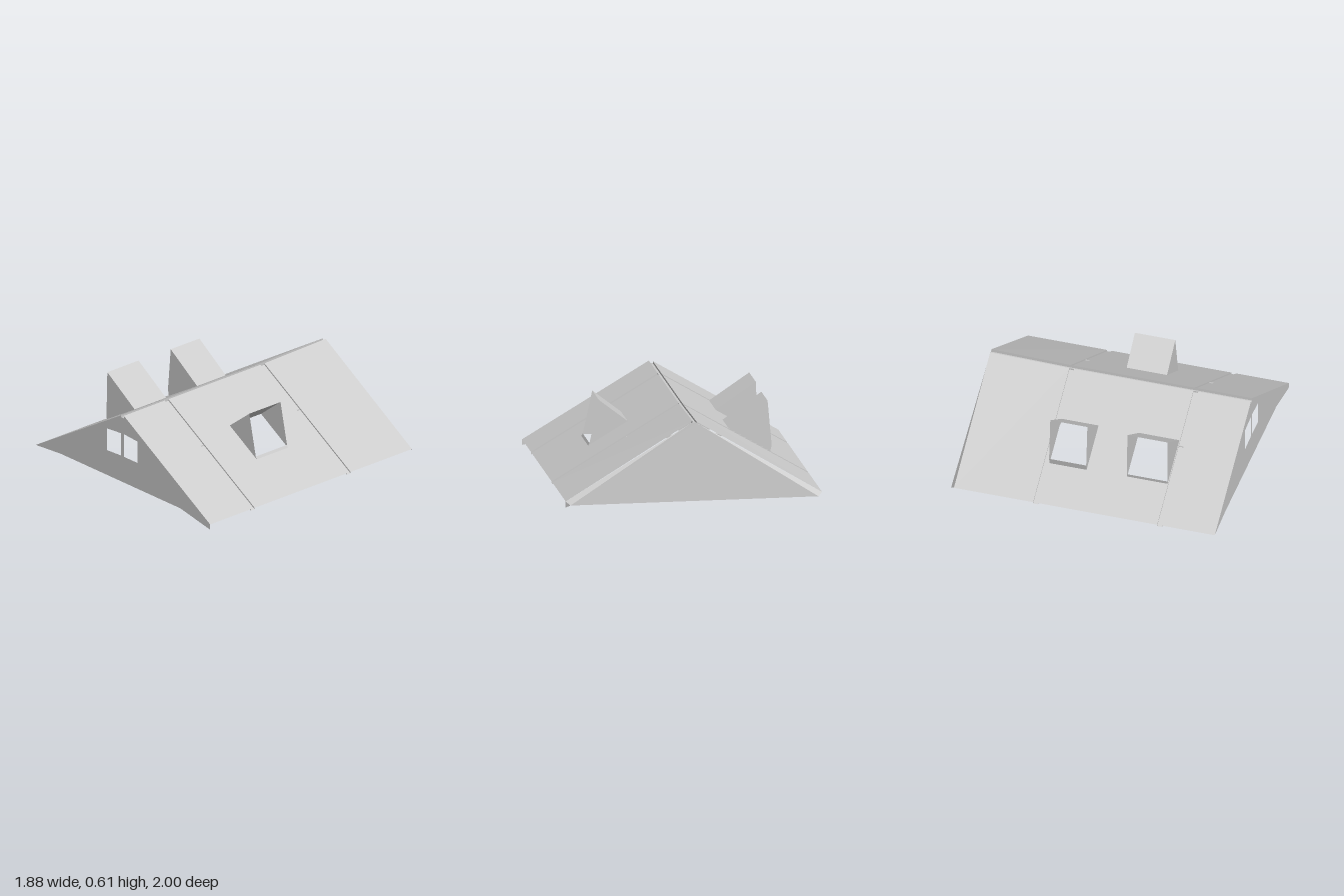
import * as THREE from 'three';

const W = 0.94, BACK = -0.97, RIDGE = [-0.02, 0.01];
const GROOVES = [[0.565, 0.602], [-0.372, -0.335]];
const DEPTH = 0.012;

const mat = new THREE.MeshStandardMaterial({ color: 0xcccccc, side: THREE.DoubleSide, flatShading: true });

// Height of the roof skin; the last bay rises slightly towards the back
function roofY(x, z) {
  const a = Math.abs(x);
  return 0.045 + (W - a) * 0.592 + 0.013 * (1 - a / W) * Math.max(0, (-0.372 - z) / 0.6);
}

function add(parent, name, geometry) {
  const mesh = new THREE.Mesh(geometry, mat);
  mesh.name = name;
  parent.add(mesh);
  return mesh;
}

// Flat polygons given as corner lists, each split as a fan
function sheets(polys) {
  const pos = [];
  for (const p of polys)
    for (let i = 1; i < p.length - 1; i++) pos.push(...p[0], ...p[i], ...p[i + 1]);
  const g = new THREE.BufferGeometry();
  g.setAttribute('position', new THREE.Float32BufferAttribute(pos, 3));
  g.computeVertexNormals();
  return g;
}

const toPoints = (list) => list.map(([x, y]) => new THREE.Vector2(x, y));

function shapeWithHoles(outline, holes) {
  const s = new THREE.Shape(toPoints(outline));
  for (const h of holes) s.holes.push(new THREE.Path(toPoints(h)));
  return new THREE.ShapeGeometry(s);
}

const rect = (x0, x1, y0, y1) => [[x0, y0], [x1, y0], [x1, y1], [x0, y1]];

// One roof bay: drawn in plan, then lifted onto the slope
function roofPanel(x0, x1, z0, z1, holes) {
  const g = shapeWithHoles(rect(x0, x1, z0, z1), holes);
  const p = g.attributes.position;
  for (let i = 0; i < p.count; i++) {
    const x = p.getX(i), z = p.getY(i);
    p.setXYZ(i, x, roofY(x, z), z);
  }
  g.computeVertexNormals();
  return g;
}

// Recessed channel running down one slope
function slopeGroove(xa, xb, z0, z1) {
  const pt = (x, z, d) => [x, roofY(x, z) - d, z];
  const strip = (za, da, zb, db) => [pt(xa, za, da), pt(xb, za, da), pt(xb, zb, db), pt(xa, zb, db)];
  return sheets([strip(z0, 0, z0, DEPTH), strip(z0, DEPTH, z1, DEPTH), strip(z1, DEPTH, z1, 0)]);
}

// Shed dormer with an open outer face
function dormer(parent, d) {
  const group = new THREE.Group();
  group.name = 'dormer';
  parent.add(group);
  const { z0, z1, inner, top, lip, foot } = d;
  const at = (p, z) => [p[0], p[1], z];
  add(group, 'dormerRoof', sheets([[at(inner, z0), at(top, z0), at(top, z1), at(inner, z1)]]));
  for (const z of [z0, z1])
    add(group, 'dormerCheek', sheets([[inner, top, lip, foot].map((p) => at(p, z))]));
  add(group, 'dormerSill', sheets([[at(foot, z0), at(lip, z0), at(lip, z1), at(foot, z1)]]));
}

export function createModel() {
  const model = new THREE.Group();
  model.name = 'atticRoof';

  const dormers = [
    { z0: -0.33, z1: -0.05, inner: [-0.36, 0.388], top: [-0.645, 0.585], lip: [-0.675, 0.255], foot: [-0.665, 0.208] },
    { z0: 0.255, z1: 0.56, inner: [-0.36, 0.388], top: [-0.655, 0.585], lip: [-0.664, 0.235], foot: [-0.66, 0.211] },
    { z0: -0.045, z1: 0.26, inner: [0.335, 0.403], top: [0.545, 0.567], lip: [0.615, 0.25], foot: [0.625, 0.231] },
  ];
  dormers.forEach((d) => dormer(model, d));

  // Roof bays and channels on both slopes
  const bays = [[BACK, GROOVES[1][0]], [GROOVES[1][1], GROOVES[0][0]], [GROOVES[0][1], 1]];
  for (const [x0, x1] of [[-W, RIDGE[0]], [RIDGE[1], W]]) {
    bays.forEach(([z0, z1], i) => {
      const holes = i !== 1 ? [] : dormers
        .filter((d) => d.foot[0] * (x0 + x1) > 0)
        .map((d) => rect(Math.min(d.inner[0], d.foot[0]), Math.max(d.inner[0], d.foot[0]), d.z0, d.z1));
      add(model, 'roofPanel', roofPanel(x0, x1, z0, z1, holes));
    });
    for (const [z0, z1] of GROOVES) add(model, 'roofChannel', slopeGroove(x0, x1, z0, z1));
  }

  // Ridge channel
  const [rl, rr] = RIDGE;
  const ridge = [];
  for (const [z0, z1] of [[1, -0.372], [-0.372, BACK]]) {
    const profile = (z) => [[rl, roofY(rl, z), z], [rl, roofY(rl, z) - 0.016, z],
      [rr, roofY(rl, z) - 0.016, z], [rr, roofY(rr, z), z]];
    const a = profile(z0), b = profile(z1);
    for (let i = 0; i < 3; i++) ridge.push([a[i], a[i + 1], b[i + 1], b[i]]);
  }
  add(model, 'ridgeChannel', sheets(ridge));

  // Front gable with a pair of windows
  const front = shapeWithHoles(
    [[-W, 0.045], [-0.67, 0.065], [0.62, 0.065], [W, 0.003], [W, 0.045],
      [rr, roofY(rr, 1)], [rr, 0.575], [rl, 0.575], [rl, roofY(rl, 1)]],
    [[[-0.17, 0.262], [-0.02, 0.27], [-0.02, 0.447], [-0.17, 0.435]],
      [[0.01, 0.27], [0.155, 0.27], [0.155, 0.44], [0.01, 0.45]]]);
  add(model, 'frontGable', front).position.z = 1;

  // Back gable leaning outward towards its foot
  const topL = [rl, roofY(rl, BACK) - 0.01, BACK], topR = [rr, roofY(rr, BACK) - 0.01, BACK];
  const footL = [-0.91, 0.02, -1], footR = [0.91, 0.02, -1];
  add(model, 'backGable', sheets([
    [topL, topR, footR, footL],
    [topL, footL, [-W, 0.045, BACK]],
    [topR, [W, 0.045, BACK], footR],
    [footR, [W, 0.045, BACK], [W, 0, BACK]],
  ]));

  // Collar ties under the channels
  for (const [z0, z1] of GROOVES) {
    const tie = add(model, 'collarTie', new THREE.BoxGeometry(0.79, 0.016, z1 - z0));
    tie.position.set(0, 0.353, (z0 + z1) / 2);
  }
  return model;
}
